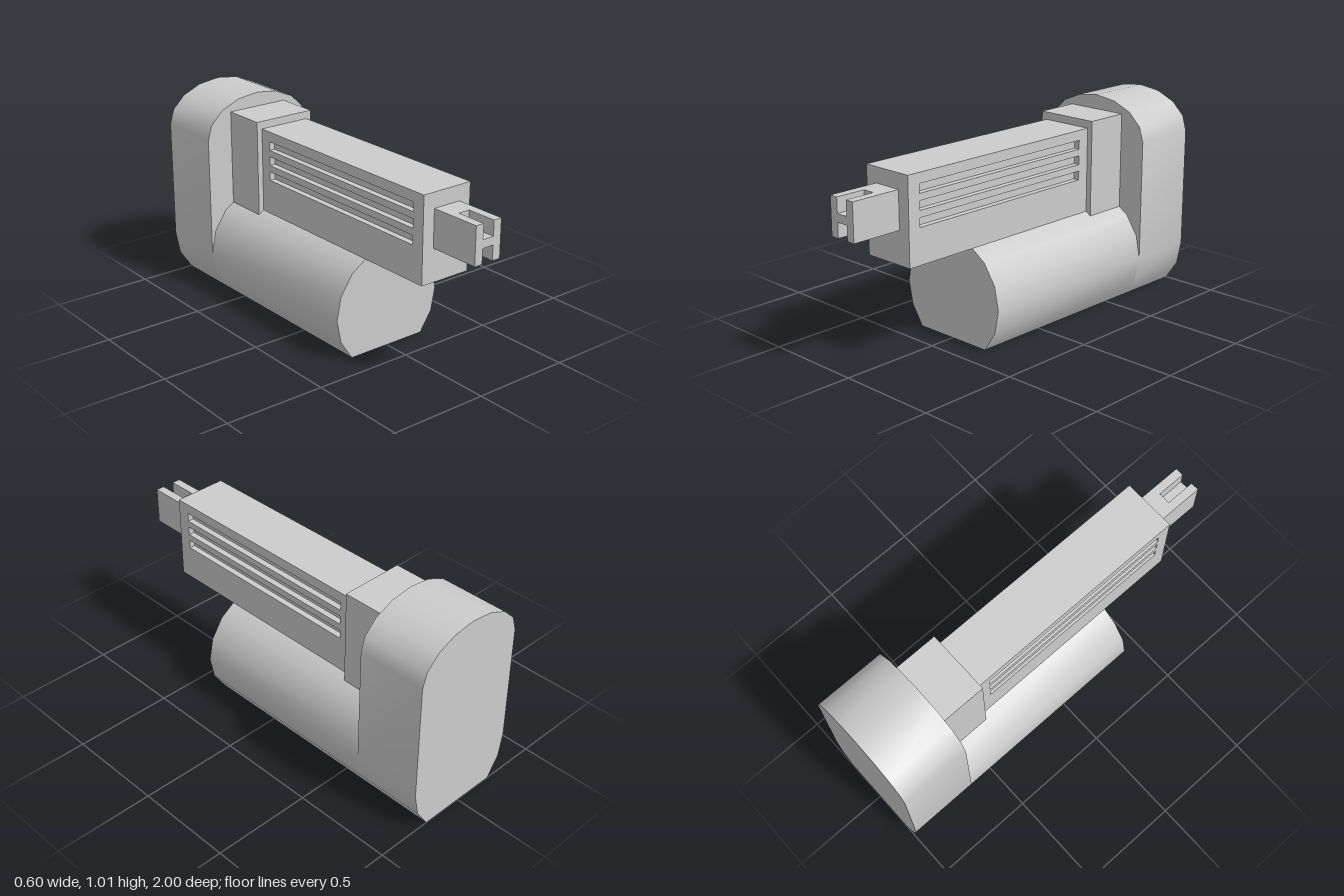
import * as THREE from 'three';
import { toCreasedNormals } from 'three/addons/utils/BufferGeometryUtils.js';

const R = 0.3, TANK_Y = 0.215, HEAD_Y = 0.815;

// Arc points; angles counted in sixteenths of a turn
function arc(cy, ry, from, to) {
  const points = [];
  for (let i = from; i <= to; i++) {
    const a = (i * Math.PI) / 8;
    points.push(new THREE.Vector2(R * Math.cos(a), cy + ry * Math.sin(a)));
  }
  return points;
}

function rectangle(x0, x1, y0, y1, Type = THREE.Shape) {
  const s = new Type();
  s.moveTo(x0, y0);
  s.lineTo(x1, y0);
  s.lineTo(x1, y1);
  s.lineTo(x0, y1);
  s.closePath();
  return s;
}

export function createModel() {
  const group = new THREE.Group();
  const grey = new THREE.MeshStandardMaterial({ color: 0xcccccc });
  grey.name = 'light grey';

  function add(name, geometry) {
    const mesh = new THREE.Mesh(geometry, grey);
    mesh.name = name;
    group.add(mesh);
    return mesh;
  }
  function box(name, x0, x1, y0, y1, z0, z1) {
    add(name, new THREE.BoxGeometry(x1 - x0, y1 - y0, z1 - z0))
      .position.set((x0 + x1) / 2, (y0 + y1) / 2, (z0 + z1) / 2);
  }
  function extrude(shape, z0, z1) {
    return new THREE.ExtrudeGeometry(shape, { depth: z1 - z0, bevelEnabled: false }).translate(0, 0, z0);
  }

  // Faceted drum with a flat underside
  const drum = new THREE.Shape(arc(TANK_Y, R, -2, 10));
  add('drum', toCreasedNormals(extrude(drum, -0.65, 0.365), 0.75));

  // Tall rear housing sharing the drum's underside
  const housing = new THREE.Shape([
    ...arc(TANK_Y, R, -2, 0), ...arc(HEAD_Y, 0.195, 0, 8), ...arc(TANK_Y, R, 8, 10),
  ]);
  add('rearHousing', toCreasedNormals(extrude(housing, -1, -0.65), 0.75));

  // Collar and barrel core
  box('collar', -0.163, 0.163, 0.455, 0.938, -0.65, -0.425);
  box('barrelCore', -0.105, 0.105, 0.478, 0.9, -0.425, 0.745);

  // Side plates with three long recessed slots each
  const plate = rectangle(-0.745, 0.425, 0.478, 0.9);
  for (const y of [0.674, 0.751, 0.828]) {
    plate.holes.push(rectangle(-0.68, 0.365, y - 0.022, y + 0.022, THREE.Path));
  }
  for (const [name, x] of [['leftSlottedPlate', 0.105], ['rightSlottedPlate', -0.135]]) {
    add(name, extrude(plate, 0, 0.03).rotateY(Math.PI / 2).translate(x, 0, 0));
  }

  // Muzzle: solid root, then a notched H-shaped tip
  box('muzzleRoot', -0.073, 0.073, 0.64, 0.825, 0.745, 0.85);
  for (const [name, s] of [['leftProng', 1], ['rightProng', -1]]) {
    box(name, s * 0.0515 - 0.0215, s * 0.0515 + 0.0215, 0.64, 0.825, 0.85, 1);
  }
  box('muzzleBridge', -0.03, 0.03, 0.712, 0.752, 0.85, 1);

  return group;
}
